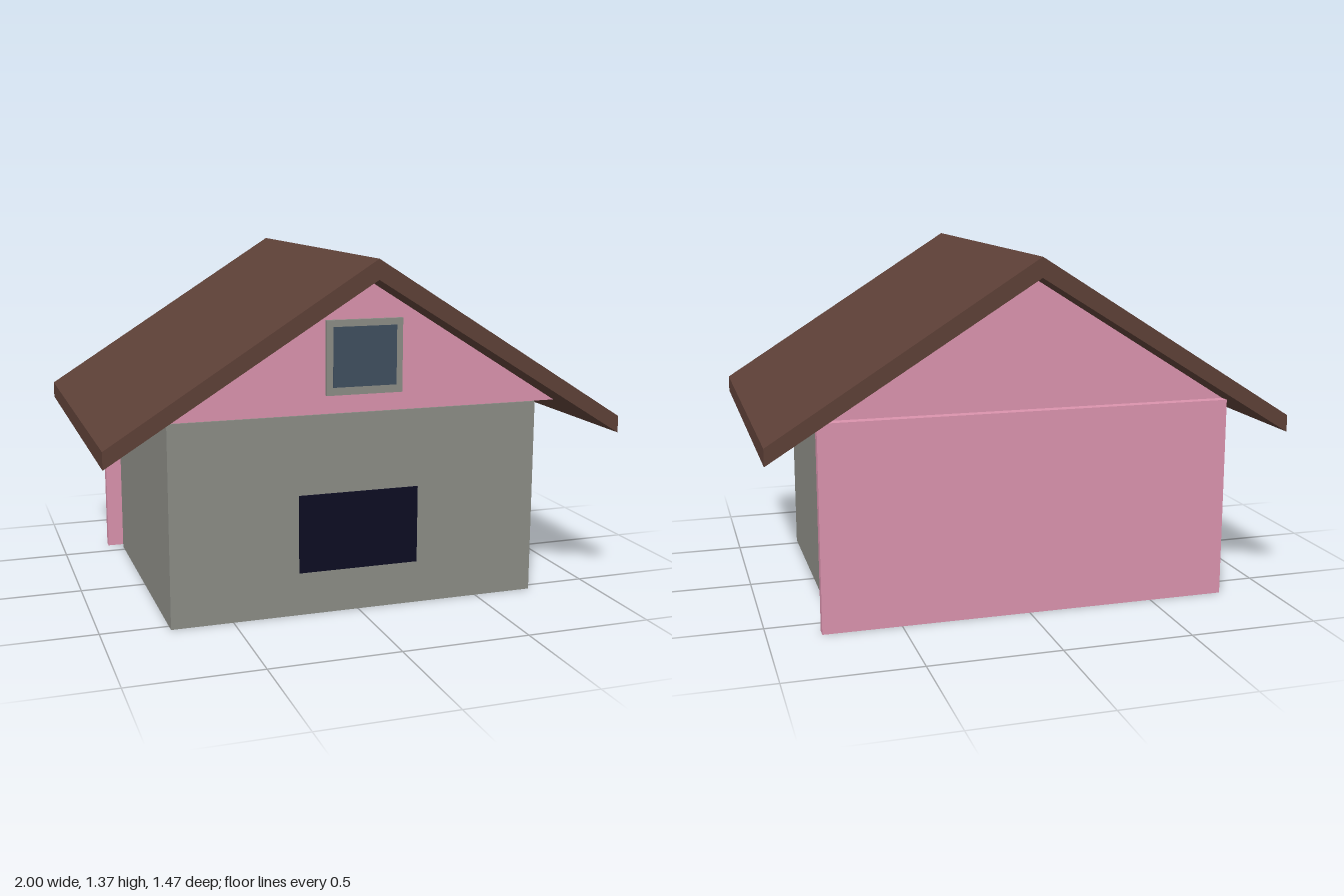
import * as THREE from 'three';

const paint = (name, color) => {
  const m = new THREE.MeshStandardMaterial({ color });
  m.name = name;
  return m;
};

export function createModel() {
  const house = new THREE.Group();
  house.name = 'house';

  const grey = paint('stone grey', 0x8b8c85);
  const pink = paint('pink', 0xda93ad);
  const brown = paint('roof brown', 0x5d4037);
  const glass = paint('window blue', 0x3f4f5f);
  const dark = paint('dark navy', 0x0c0c22);

  const add = (name, geometry, material) => {
    const mesh = new THREE.Mesh(geometry, material);
    mesh.name = name;
    house.add(mesh);
    return mesh;
  };

  // Box given by half width and its y and z ranges, centred on x
  const box = (name, material, halfW, y0, y1, z0, z1) =>
    add(name, new THREE.BoxGeometry(2 * halfW, y1 - y0, z1 - z0), material)
      .position.set(0, (y0 + y1) / 2, (z0 + z1) / 2);

  // Front outline pushed along z
  const prism = (name, material, points, z0, z1) => {
    const shape = new THREE.Shape(points.map(([x, y]) => new THREE.Vector2(x, y)));
    const geometry = new THREE.ExtrudeGeometry(shape, { depth: z1 - z0, bevelEnabled: false });
    add(name, geometry, material).position.z = z0;
  };

  // Main block and the free-standing back wall
  box('body', grey, 0.74, 0, 0.78, -0.54, 0.54);
  box('backWall', pink, 0.8, 0, 0.79, -0.62, -0.58);

  // Gables at both ends
  const gable = [[-0.8, 0.79], [0.8, 0.79], [0, 1.292]];
  prism('frontGable', pink, gable, 0.54, 0.58);
  prism('backGable', pink, gable, -0.58, -0.54);

  // Pitched roof with upright eave edges
  prism('roof', brown, [
    [-1, 0.675], [0, 1.295], [1, 0.675],
    [1, 0.74], [0, 1.37], [-1, 0.74],
  ], -0.735, 0.735);

  // Attic window and front panel
  box('windowFrame', grey, 0.15, 0.86, 1.14, 0.58, 0.597);
  box('windowPane', glass, 0.125, 0.89, 1.115, 0.596, 0.6);
  box('frontPanel', dark, 0.24, 0.17, 0.473, 0.54, 0.549);

  return house;
}
